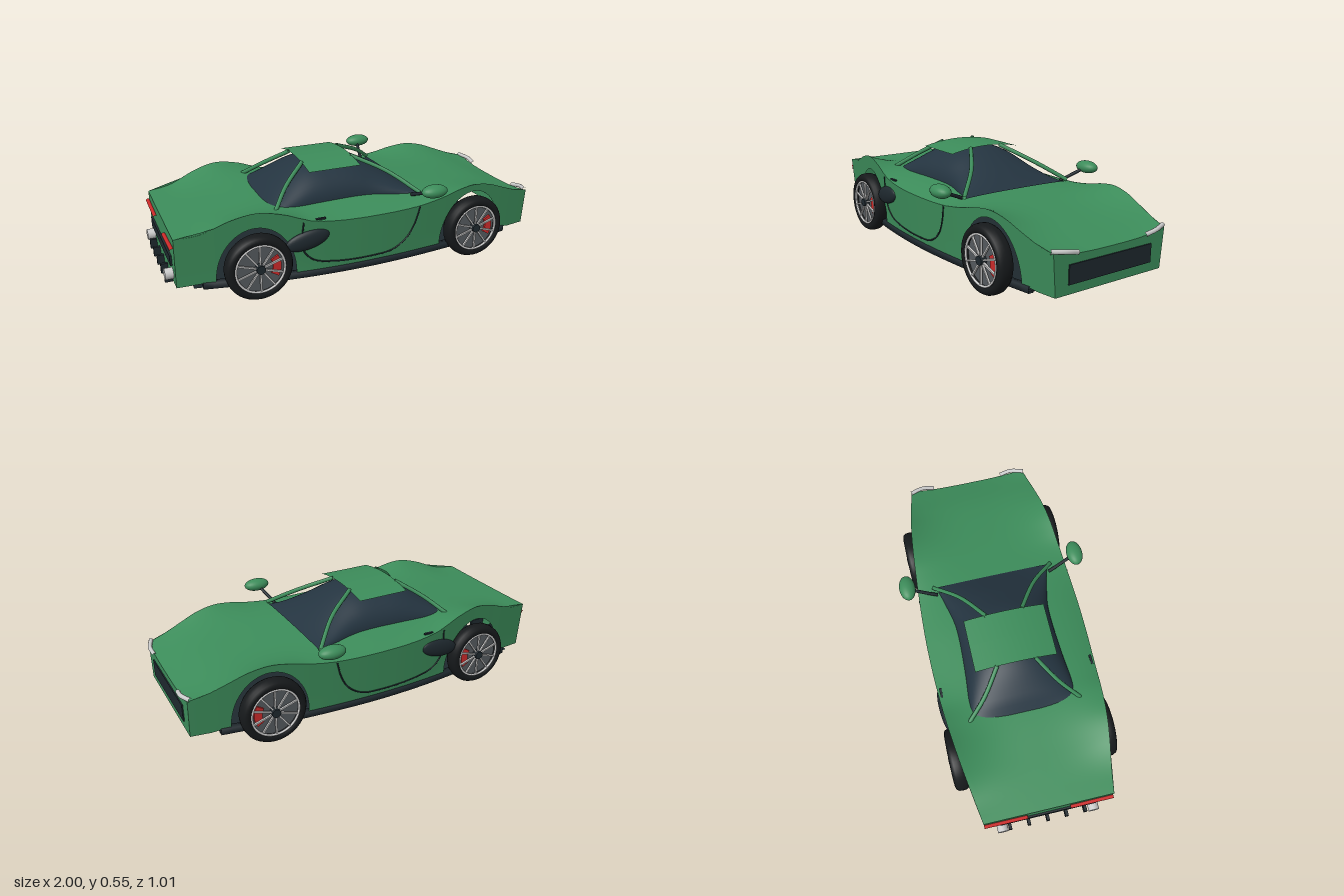
import * as THREE from 'three';

const mat = (color, side = THREE.FrontSide) => new THREE.MeshStandardMaterial({ color, side });
const GREEN = mat(0x3c8c5a, THREE.DoubleSide), GLASS = mat(0x243440, THREE.DoubleSide);
const DARK = mat(0x1e282e, THREE.DoubleSide), TYRE = mat(0x16191b), RED = mat(0xcc2a2a);
const SILVER = mat(0xcccccc), DISC = mat(0x555a5e);
const V = (x, y, z) => new THREE.Vector3(x, y, z);

// smooth curve y(x) through [x, y] points
function profile(pts) {
  const slope = i => {
    const a = pts[Math.max(i - 1, 0)], b = pts[Math.min(i + 1, pts.length - 1)];
    return (b[1] - a[1]) / (b[0] - a[0]);
  };
  return x => {
    let i = 0;
    while (i < pts.length - 2 && x > pts[i + 1][0]) i++;
    const [x0, y0] = pts[i], [x1, y1] = pts[i + 1], h = x1 - x0;
    const t = THREE.MathUtils.clamp((x - x0) / h, 0, 1), t2 = t * t, t3 = t2 * t;
    return (2 * t3 - 3 * t2 + 1) * y0 + (t3 - 2 * t2 + t) * h * slope(i)
      + (3 * t2 - 2 * t3) * y1 + (t3 - t2) * h * slope(i + 1);
  };
}

const REAR = -0.96, NOSE = 0.98, BOTTOM = 0.09;
const halfWidth = profile([[-0.96, 0.33], [-0.84, 0.35], [-0.6, 0.385], [-0.3, 0.415], [0, 0.424],
  [0.3, 0.412], [0.6, 0.385], [0.84, 0.355], [0.98, 0.33]]);
const shoulder = profile([[-0.96, 0.345], [-0.84, 0.358], [-0.7, 0.412], [-0.58, 0.435], [-0.45, 0.41],
  [-0.33, 0.365], [-0.2, 0.345], [0, 0.338], [0.25, 0.342], [0.4, 0.362], [0.5, 0.385], [0.6, 0.396],
  [0.7, 0.38], [0.8, 0.343], [0.9, 0.306], [0.98, 0.287]]);
const centre = profile([[-0.96, 0.343], [-0.7, 0.365], [-0.45, 0.385], [0, 0.39], [0.31, 0.37],
  [0.6, 0.343], [0.8, 0.313], [0.98, 0.262]]);
const WHEELS = [-0.585, 0.597];
const skinY = (x, t) => centre(x) + (shoulder(x) - centre(x)) * Math.abs(t) ** 3;
const sideZ = (x, y) => halfWidth(x) - 0.02 * THREE.MathUtils.clamp((shoulder(x) - y) / 0.25, 0, 1);
// lower edge of the flank, raised over the wheels
function lowerEdge(x) {
  for (const c of WHEELS) {
    const d = (x - c) / 0.192;
    if (Math.abs(d) < 1) return 0.1 + 0.258 * Math.sqrt(1 - d * d);
  }
  return BOTTOM;
}

// surface from a function of u, v in 0..1
function surface(fn, nu, nv) {
  const pos = [], index = [];
  for (let i = 0; i <= nu; i++) for (let j = 0; j <= nv; j++) {
    pos.push(...fn(i / nu, j / nv));
    if (i < nu && j < nv) {
      const a = i * (nv + 1) + j, b = a + nv + 1;
      index.push(a, a + 1, b, b, a + 1, b + 1);
    }
  }
  const g = new THREE.BufferGeometry();
  g.setAttribute('position', new THREE.Float32BufferAttribute(pos, 3));
  g.setIndex(index);
  g.computeVertexNormals();
  return g;
}

function add(parent, name, geometry, material, x = 0, y = 0, z = 0) {
  const m = new THREE.Mesh(geometry, material);
  m.name = name;
  m.position.set(x, y, z);
  parent.add(m);
  return m;
}
const tube = (pts, r, n = 24) => new THREE.TubeGeometry(new THREE.CatmullRomCurve3(pts), n, r, 8);
const box = (x, y, z) => new THREE.BoxGeometry(x, y, z);
const lerp = THREE.MathUtils.lerp;

function makeWheel() {
  const g = new THREE.Group();
  g.name = 'wheel';
  const ring = pts => new THREE.LatheGeometry(pts.map(p => new THREE.Vector2(...p)), 48).rotateX(Math.PI / 2);
  add(g, 'tyre', ring([[0.122, -0.034], [0.14, -0.039], [0.156, -0.034], [0.164, -0.02], [0.166, 0],
    [0.164, 0.02], [0.156, 0.034], [0.14, 0.039], [0.122, 0.034], [0.122, -0.034]]), TYRE);
  add(g, 'brakeDisc', new THREE.CylinderGeometry(0.122, 0.122, 0.03, 40).rotateX(Math.PI / 2), DISC);
  add(g, 'rim', new THREE.TorusGeometry(0.12, 0.006, 8, 48), SILVER, 0, 0, 0.032);
  for (let i = 0; i < 10; i++) {
    const s = add(g, 'spoke', box(0.1, 0.008, 0.01).translate(0.069, 0, 0), SILVER, 0, 0, 0.03);
    s.rotation.z = (i + 0.5) * Math.PI / 5;
  }
  const arc = new THREE.Shape();
  arc.absarc(0, 0, 0.105, -0.55, 0.55, false);
  arc.absarc(0, 0, 0.065, 0.55, -0.55, true);
  add(g, 'brakeCaliper', new THREE.ExtrudeGeometry(arc, { depth: 0.012, bevelEnabled: false }), RED, 0, 0, 0.013);
  add(g, 'hub', new THREE.CylinderGeometry(0.022, 0.026, 0.045, 20).rotateX(Math.PI / 2), DARK, 0, 0, 0.022);
  return g;
}

// everything that exists once on each side, built for +z
function makeSide() {
  const g = new THREE.Group();
  // flank: columns gathered exactly at the arch ends
  const stops = [REAR];
  for (const c of WHEELS) for (let i = 0; i <= 32; i++) stops.push(c - 0.192 * Math.cos(i * Math.PI / 32));
  for (let i = 1; i < 12; i++) stops.push(lerp(WHEELS[0] + 0.192, WHEELS[1] - 0.192, i / 12));
  stops.push(0.88, NOSE);
  stops.sort((a, b) => a - b);
  const n = stops.length - 1;
  add(g, 'flank', surface((u, v) => {
    const x = stops[Math.round(u * n)], y = lerp(lowerEdge(x), shoulder(x), v);
    return [x, y, sideZ(x, y)];
  }, n, 6), GREEN);

  // sill skirt following the flank
  const ring = [[-0.02, 0.07], [0.008, 0.07], [0.008, 0.1], [-0.02, 0.105], [-0.02, 0.07]];
  add(g, 'sill', surface((u, v) => {
    const x = lerp(-0.84, 0.84, u), [dz, y] = ring[Math.round(v * 4)];
    return [x, y - 0.012 * (1 - (x / 0.84) ** 2), sideZ(x, BOTTOM) + dz];
  }, 32, 4), DARK);

  for (const x of WHEELS) {
    const w = makeWheel();
    w.position.set(x, 0.167, 0.395);
    g.add(w);
  }

  // door seam and handle
  const seam = [[-0.36, 0.36], [-0.365, 0.22], [-0.31, 0.15], [-0.2, 0.122], [0, 0.113], [0.12, 0.125],
    [0.2, 0.18], [0.24, 0.25], [0.265, 0.34]];
  add(g, 'doorSeam', tube(seam.map(([x, y]) => V(x, y, sideZ(x, y))), 0.004, 48), DARK);
  add(g, 'doorHandle', box(0.05, 0.008, 0.012), DARK, -0.27, 0.36, 0.4);

  // side air intake
  const intake = add(g, 'sideIntake', new THREE.SphereGeometry(1, 28, 16), DARK, -0.34, 0.262, 0.405);
  intake.scale.set(0.113, 0.048, 0.024);
  intake.rotation.set(0, -0.06, 0.22);

  // mirror
  add(g, 'mirrorStalk', tube([V(0.27, 0.365, 0.31), V(0.285, 0.39, 0.37), V(0.305, 0.42, 0.44)], 0.009, 8), DARK);
  add(g, 'mirror', new THREE.SphereGeometry(1, 28, 16), GREEN, 0.315, 0.43, 0.46).scale.set(0.07, 0.033, 0.043);

  // roof pillars
  add(g, 'frontPillar', tube([V(0.31, 0.376, 0.325), V(0.18, 0.47, 0.197), V(0.02, 0.545, 0.092)], 0.011), GREEN);
  add(g, 'rearPillar', tube([V(-0.46, 0.385, 0.29), V(-0.37, 0.465, 0.19), V(-0.25, 0.545, 0.097)], 0.011), GREEN);

  // lights and exhaust
  add(g, 'headlight', tube([V(0.985, 0.274, 0.2), V(0.988, 0.287, 0.265), V(0.965, 0.294, 0.335)], 0.011), SILVER);
  add(g, 'tailLight', tube([V(-0.967, 0.283, 0.11), V(-0.967, 0.294, 0.33)], 0.01, 4), RED);
  add(g, 'exhaust', new THREE.CylinderGeometry(0.028, 0.028, 0.07, 24).rotateZ(Math.PI / 2), SILVER, -0.965, 0.137, 0.24);
  return g;
}

export function createModel() {
  const car = new THREE.Group();
  car.name = 'sportsCar';

  // upper skin from nose to tail
  add(car, 'upperBody', surface((u, v) => {
    const x = lerp(REAR, NOSE, u), t = v * 2 - 1;
    return [x, skinY(x, t), t * halfWidth(x)];
  }, 90, 28), GREEN);

  // end panels
  for (const [name, x] of [['nosePanel', NOSE], ['tailPanel', REAR]]) {
    add(car, name, surface((u, v) => {
      const t = u * 2 - 1, y = lerp(BOTTOM, skinY(x, t), v);
      return [x, y, t * sideZ(x, lerp(BOTTOM, shoulder(x), v))];
    }, 20, 4), GREEN);
  }
  add(car, 'frontGrille', box(0.01, 0.09, 0.49), DARK, 0.981, 0.18, 0);
  add(car, 'rearGrille', box(0.014, 0.05, 0.5), DARK, -0.963, 0.205, 0);
  for (let i = -2; i <= 2; i++) add(car, 'diffuserFin', box(0.12, 0.05, 0.016), DARK, -0.935, 0.1, i * 0.1);

  // floor
  add(car, 'floor', surface((u, v) => {
    const x = lerp(-0.88, 0.84, u);
    return [x, 0.075, (v * 2 - 1) * (sideZ(x, BOTTOM) - 0.005)];
  }, 24, 1), DARK);

  // glass canopy: elliptical arches along x
  const glassTop = profile([[-0.47, 0.385], [-0.4, 0.445], [-0.25, 0.53], [-0.12, 0.546], [0.02, 0.533],
    [0.16, 0.467], [0.31, 0.376]]);
  const glassWidth = profile([[-0.47, 0.27], [-0.4, 0.275], [-0.2, 0.258], [0.05, 0.252], [0.2, 0.28], [0.31, 0.31]]);
  add(car, 'glassCanopy', surface((u, v) => {
    const x = lerp(-0.47, 0.31, u), a = v * Math.PI, base = 0.368;
    return [x, base + (glassTop(x) - base) * Math.sin(a), -Math.cos(a) * glassWidth(x)];
  }, 40, 28), GLASS);

  // thin cambered roof panel
  add(car, 'roofPanel', surface((u, v) => {
    const t = v * 2 - 1;
    return [lerp(-0.253, 0.025, u), 0.551 - 0.024 * t * t, t * 0.21];
  }, 2, 16), GREEN);

  const left = makeSide(), right = makeSide();
  left.name = 'leftSide';
  right.name = 'rightSide';
  right.scale.z = -1;
  car.add(left, right);
  return car;
}
